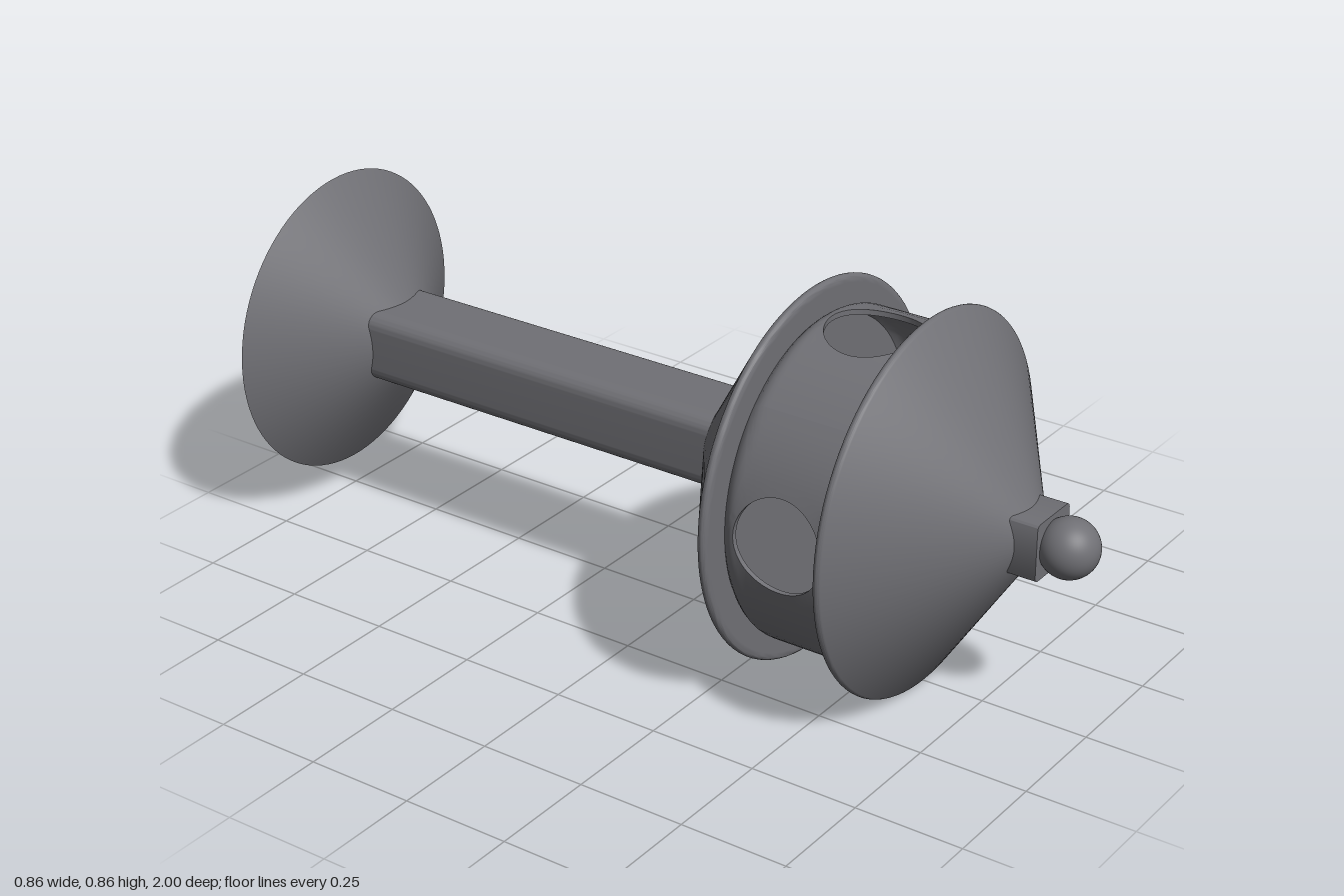
import * as THREE from 'three';
import { toCreasedNormals } from 'three/addons/utils/BufferGeometryUtils.js';

const AXIS_Y = 0.43; // height of the long axis, which runs along z
const material = new THREE.MeshStandardMaterial({ color: 0x707075 });

function addPart(group, name, geometry) {
  const mesh = new THREE.Mesh(geometry, material);
  mesh.name = name;
  group.add(mesh);
  return mesh;
}

// Solid of revolution about z; points are [radius, z] with z increasing
function turned(points) {
  const geo = new THREE.LatheGeometry(points.map(([r, z]) => new THREE.Vector2(r, z)), 96);
  return toCreasedNormals(geo.rotateX(Math.PI / 2), 0.6);
}

// Cone with a flat underside at z = 0 and a rounded rim
function rimmedCone() {
  const points = [[0, 0], [0.41, 0]];
  for (let i = 0; i <= 8; i++) {
    const a = THREE.MathUtils.lerp(-Math.PI / 2, 0.99, i / 8);
    points.push([0.417 + 0.011 * Math.cos(a), 0.011 + 0.011 * Math.sin(a)]);
  }
  points.push([0, 0.3]);
  return turned(points);
}

// Bar along z with rounded corners
function roundedBar(w, h, r, z0, z1) {
  const s = new THREE.Shape();
  const x = w / 2, y = h / 2;
  s.moveTo(x, r - y);
  s.lineTo(x, y - r);
  s.absarc(x - r, y - r, r, 0, Math.PI / 2);
  s.absarc(r - x, y - r, r, Math.PI / 2, Math.PI);
  s.absarc(r - x, r - y, r, Math.PI, Math.PI * 1.5);
  s.absarc(x - r, r - y, r, Math.PI * 1.5, Math.PI * 2);
  const geo = new THREE.ExtrudeGeometry(s, { depth: z1 - z0, bevelEnabled: false, curveSegments: 8 });
  return toCreasedNormals(geo.translate(0, 0, z0), 0.6);
}

// Quarter of a thin drum wall, pierced by a straight round hole
function wallPanel(turn, offset) {
  const outer = 0.372, inner = 0.36, zMid = 0.466, zHalf = 0.138, hole = 0.106;
  const cols = 96, steps = 6;
  // Rows run from the outer border to the hole, through the wall, and back inside
  const rows = [];
  for (let i = 0; i <= steps; i++) rows.push([outer, i / steps]);
  for (let i = steps; i >= 0; i--) rows.push([inner, i / steps]);

  const positions = [], index = [];
  rows.forEach(([radius, k], i) => {
    for (let j = 0; j <= cols; j++) {
      // Walk round a square so the panel corners are met exactly
      const side = Math.floor(j / (cols / 4)) % 4;
      const f = ((j % (cols / 4)) / (cols / 4)) * 2 - 1;
      const [a, b] = [[1, f], [-f, 1], [-1, -f], [f, -1]][side];
      const t = Math.atan2(b, a);
      const holeAngle = Math.asin((offset + hole * Math.cos(t)) / radius);
      const angle = turn + THREE.MathUtils.lerp(a * Math.PI / 4, holeAngle, k);
      const z = zMid + THREE.MathUtils.lerp(b * zHalf, hole * Math.sin(t), k);
      // The rear edge curls in towards the floor
      const r = radius - 0.016 * (Math.max(0, 0.36 - z) / 0.031) ** 2;
      positions.push(r * Math.cos(angle), r * Math.sin(angle), z);
      if (i < rows.length - 1 && j < cols) {
        const p = i * (cols + 1) + j, q = p + cols + 1;
        index.push(p, p + 1, q, p + 1, q + 1, q);
      }
    }
  });
  const geo = new THREE.BufferGeometry();
  geo.setAttribute('position', new THREE.Float32BufferAttribute(positions, 3));
  geo.setIndex(index);
  return toCreasedNormals(geo, 0.6);
}

export function createModel() {
  const model = new THREE.Group();
  model.name = 'birdhouseOnPole';
  const body = new THREE.Group();
  body.name = 'birdhouse';
  body.position.y = AXIS_Y;
  model.add(body);

  // Matching conical roof and floor, back to back
  addPart(body, 'roof', rimmedCone()).position.z = 0.587;
  const floor = addPart(body, 'floorCone', rimmedCone());
  floor.position.z = 0.329;
  floor.rotation.y = Math.PI;

  // Drum wall with four entrance holes, drilled straight across in pairs
  const drum = new THREE.Group();
  drum.name = 'drumWall';
  [0.014, 0.014, -0.014, -0.014].forEach((offset, k) => {
    addPart(drum, 'wallPanel', wallPanel(k * Math.PI / 2, offset));
  });
  body.add(drum);

  // Finial
  addPart(body, 'finialBlock', roundedBar(0.132, 0.132, 0.012, 0.8, 0.895));
  addPart(body, 'finialBall', new THREE.SphereGeometry(0.066, 48, 32)).position.z = 0.934;

  // Pole and flared base
  addPart(body, 'pole', roundedBar(0.206, 0.168, 0.035, -0.9, 0.2)).position.y = 0.006;
  addPart(body, 'base', turned([[0, -1], [0.36, -1], [0, -0.765]])).position.y = 0.004;

  return model;
}
